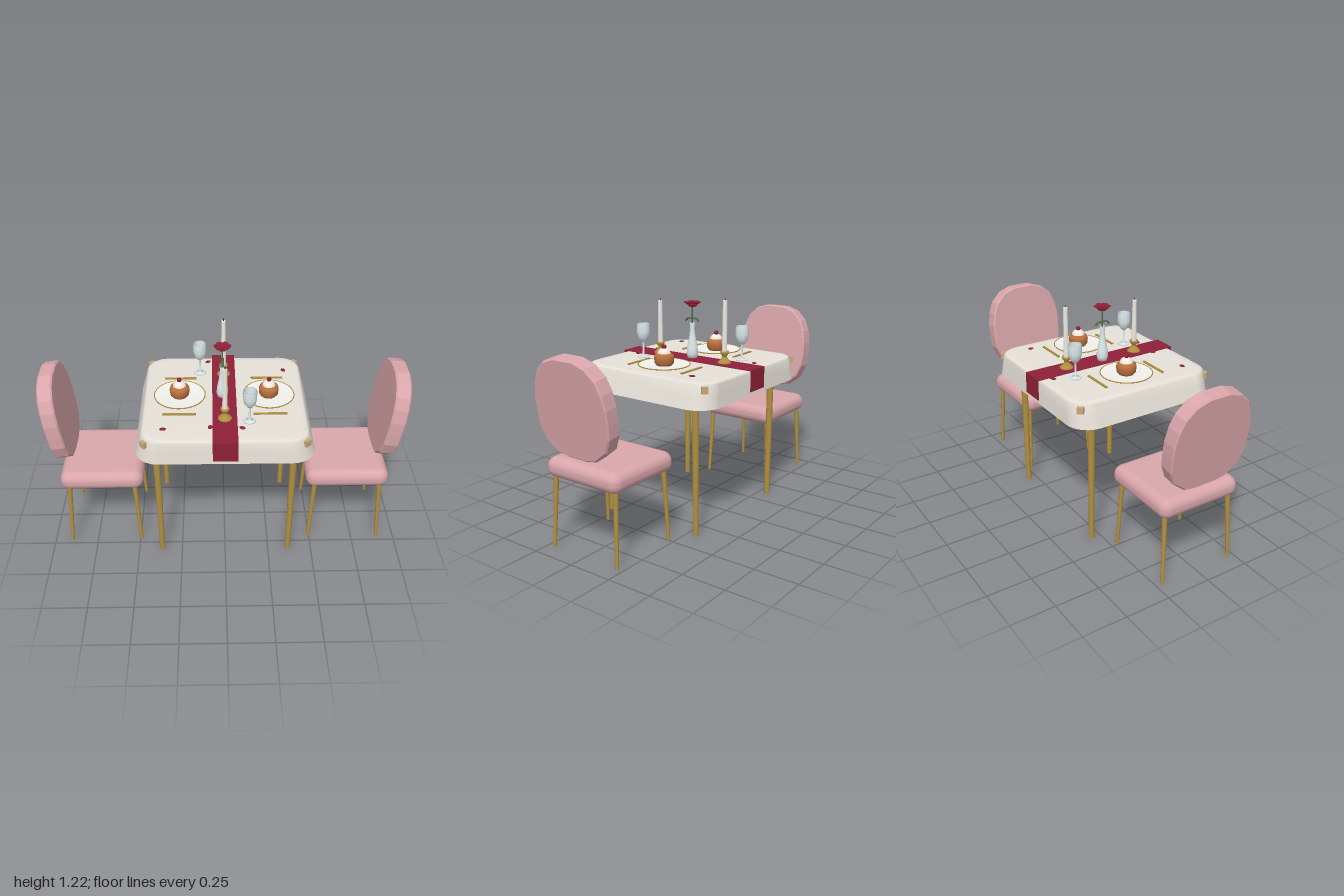
import * as THREE from 'three';
import { RoundedBoxGeometry } from 'three/addons/geometries/RoundedBoxGeometry.js';

const mat = (color, opts = {}) => new THREE.MeshStandardMaterial({ color, ...opts });
const DS = { side: THREE.DoubleSide };
const M = {
  pink: mat(0xd9a6ab), gold: mat(0xb08f40), wood: mat(0x7d6a48), cloth: mat(0xe6e1d8, DS),
  red: mat(0x8f2138, DS), glass: mat(0xdce8ea, DS), china: mat(0xf2f0ec, DS), wax: mat(0xeeeae2),
  cake: mat(0xb9713f), cream: mat(0xf5ece0), green: mat(0x4d6b40), wick: mat(0x2a2522), clip: mat(0xc9a878),
};

function add(parent, name, geo, material, x = 0, y = 0, z = 0) {
  const m = new THREE.Mesh(geo, material);
  m.name = name;
  m.position.set(x, y, z);
  parent.add(m);
  return m;
}

function group(parent, name, x = 0, y = 0, z = 0) {
  const g = new THREE.Group();
  g.name = name;
  g.position.set(x, y, z);
  parent.add(g);
  return g;
}

const lathe = (pts, seg = 24) => new THREE.LatheGeometry(pts.map(p => new THREE.Vector2(...p)), seg);

// Tapered round bar between two points
function bar(parent, name, a, b, ra, rb, material) {
  const A = new THREE.Vector3(...a), B = new THREE.Vector3(...b), d = B.clone().sub(A);
  const m = add(parent, name, new THREE.CylinderGeometry(rb, ra, d.length(), 14), material);
  m.position.copy(A).add(B).multiplyScalar(0.5);
  m.quaternion.setFromUnitVectors(new THREE.Vector3(0, 1, 0), d.normalize());
}

// Surface lofted through rounded rectangles [halfX, halfZ, cornerRadius, y], closed at the centre
function loftCloth(rings) {
  const pos = [0, rings[0][3], 0], idx = [], seg = 6, n = 4 * (seg + 1);
  for (const [hx, hz, r, y] of rings)
    for (let k = 0; k < 4; k++)
      for (let s = 0; s <= seg; s++) {
        const a = (k + s / seg) * Math.PI / 2;
        const sx = k === 0 || k === 3 ? 1 : -1, sz = k < 2 ? 1 : -1;
        pos.push(sx * (hx - r) + r * Math.cos(a), y, sz * (hz - r) + r * Math.sin(a));
      }
  for (let i = 0; i < n; i++) {
    const j = (i + 1) % n;
    idx.push(0, 1 + j, 1 + i);
    for (let k = 0; k < rings.length - 1; k++) {
      const a = 1 + k * n + i, b = 1 + k * n + j;
      idx.push(a, b, a + n, b, b + n, a + n);
    }
  }
  const g = new THREE.BufferGeometry();
  g.setAttribute('position', new THREE.Float32BufferAttribute(pos, 3));
  g.setIndex(idx);
  g.computeVertexNormals();
  return g;
}

function buildTable(root) {
  const t = group(root, 'table');
  add(t, 'tableTop', new THREE.BoxGeometry(0.8, 0.06, 0.78), M.wood, 0, 0.825, 0);
  add(t, 'tablecloth', loftCloth([
    [0.40, 0.385, 0.09, 0.862], [0.43, 0.415, 0.1, 0.86], [0.442, 0.425, 0.105, 0.85],
    [0.458, 0.43, 0.115, 0.79], [0.476, 0.436, 0.125, 0.73]]), M.cloth);
  for (const sx of [-1, 1]) for (const sz of [-1, 1]) {
    bar(t, 'tableLeg', [sx * 0.365, 0, sz * 0.3], [sx * 0.37, 0.8, sz * 0.3], 0.015, 0.02, M.gold);
    const c = add(t, 'clothClip', new THREE.BoxGeometry(0.035, 0.035, 0.02), M.clip, sx * 0.424, 0.832, sz * 0.397);
    c.rotation.y = sx * sz * Math.PI / 4;
  }
  // Runner: thin strip across the top with hanging ends
  add(t, 'runner', new THREE.BoxGeometry(0.132, 0.004, 0.878), M.red, 0, 0.865, 0);
  for (const s of [-1, 1])
    add(t, 'runnerEnd', new THREE.BoxGeometry(0.132, 0.117, 0.004), M.red, 0, 0.8085, s * 0.438);
}

function buildChair(root, side) {
  const c = group(root, side > 0 ? 'leftChair' : 'rightChair');
  if (side < 0) c.rotation.y = Math.PI;
  // Cushion, thickest in the middle
  const seat = new RoundedBoxGeometry(0.465, 0.115, 0.48, 6, 0.052);
  const p = seat.attributes.position;
  for (let i = 0; i < p.count; i++) {
    const u = p.getX(i) / 0.2325, v = p.getZ(i) / 0.24;
    p.setY(i, p.getY(i) * (0.94 + 0.14 * (1 - u * u) * (1 - v * v)));
  }
  add(c, 'seat', seat, M.pink, 0.692, 0.44, 0);
  for (const sz of [-1, 1]) {
    bar(c, 'frontLeg', [0.492, 0, sz * 0.215], [0.512, 0.41, sz * 0.2], 0.009, 0.014, M.gold);
    bar(c, 'rearLeg', [0.9, 0, sz * 0.215], [0.878, 0.41, sz * 0.2], 0.009, 0.014, M.gold);
  }
  // Faceted oval backrest, leaning outwards
  const half = [[0.055, -0.257], [0.125, -0.245], [0.2, -0.185], [0.23, -0.11], [0.234, -0.04],
    [0.234, 0.035], [0.22, 0.11], [0.192, 0.175], [0.135, 0.23], [0.06, 0.255]];
  const outline = [...half, ...half.map(([x, y]) => [-x, y]).reverse()];
  const back = new THREE.ExtrudeGeometry(new THREE.Shape(outline.map(q => new THREE.Vector2(...q))),
    { depth: 0.069, bevelEnabled: true, bevelThickness: 0.008, bevelSize: 0.008, bevelOffset: -0.008, bevelSegments: 1 });
  back.translate(0, 0, -0.0345).rotateY(Math.PI / 2);
  add(c, 'backrest', back, M.pink, 0.922, 0.79, 0).rotation.z = -0.14;
}

function buildSetting(root, side) {
  const s = group(root, 'placeSetting', side * 0.245, 0.862, 0);
  add(s, 'plate', lathe([[0, 0.004], [0.09, 0.004], [0.14, 0.013], [0.14, 0.016], [0.09, 0.009], [0, 0.009]], 36), M.china);
  const rim = add(s, 'plateRim', new THREE.TorusGeometry(0.14, 0.003, 6, 40), M.gold, 0, 0.015, 0);
  rim.rotation.x = Math.PI / 2;
  add(s, 'cake', lathe([[0, 0.009], [0.042, 0.009], [0.052, 0.022], [0.055, 0.05], [0.05, 0.067], [0.035, 0.075], [0, 0.076]]), M.cake);
  add(s, 'icing', lathe([[0.036, 0.068], [0.036, 0.078], [0.028, 0.092], [0.015, 0.1], [0, 0.102]]), M.cream);
  add(s, 'cherry', new THREE.SphereGeometry(0.013, 14, 10), M.red, 0, 0.109, 0);
  for (const z of [-0.182, 0.178])
    add(s, 'cutlery', new THREE.BoxGeometry(0.18, 0.006, 0.014), M.gold, 0, 0.005, z);
}

function buildGlass(root, x, z) {
  const g = group(root, 'wineGlass', x, 0.862, z);
  add(g, 'glass', lathe([[0, 0], [0.034, 0.001], [0.03, 0.005], [0.006, 0.012], [0.005, 0.085], [0.016, 0.094],
    [0.031, 0.115], [0.037, 0.145], [0.036, 0.192], [0.033, 0.192], [0.034, 0.145], [0.026, 0.115], [0, 0.1]]), M.glass);
  add(g, 'wine', new THREE.CylinderGeometry(0.018, 0.012, 0.008, 18), M.red, 0, 0.108, 0);
}

function buildCandle(root, z, top) {
  const g = group(root, 'candlestick', 0, 0.865, z);
  add(g, 'holder', lathe([[0, 0], [0.037, 0], [0.037, 0.008], [0.026, 0.018], [0.013, 0.034], [0.013, 0.043],
    [0.023, 0.055], [0.024, 0.068], [0, 0.068]]), M.gold);
  add(g, 'candle', new THREE.CylinderGeometry(0.012, 0.0145, top - 0.93, 18), M.wax, 0, (top + 0.93) / 2 - 0.865, 0);
  add(g, 'wick', new THREE.CylinderGeometry(0.002, 0.002, 0.016, 6), M.wick, 0, top - 0.859, 0);
}

function buildRose(root) {
  const g = group(root, 'roseVase', -0.01, 0.865, 0);
  add(g, 'vase', lathe([[0, 0], [0.026, 0], [0.032, 0.025], [0.03, 0.06], [0.018, 0.12], [0.013, 0.165],
    [0.016, 0.2], [0.013, 0.2], [0.01, 0.165]]), M.glass);
  bar(g, 'stem', [0, 0.05, 0], [0, 0.295, 0], 0.004, 0.004, M.green);
  for (const s of [-1, 1]) {
    const curve = new THREE.QuadraticBezierCurve3(new THREE.Vector3(0, 0.222, 0),
      new THREE.Vector3(0, 0.236, s * 0.022), new THREE.Vector3(0, 0.21, s * 0.044));
    const leaf = new THREE.TubeGeometry(curve, 10, 0.004, 8);
    leaf.scale(2.4, 1, 1);
    add(g, 'leaf', leaf, M.green);
  }
  // Rings of cupped petals around a bud
  add(g, 'bud', new THREE.SphereGeometry(0.013, 12, 8), M.red, 0, 0.314, 0);
  add(g, 'roseBase', lathe([[0, 0.285], [0.02, 0.292], [0.038, 0.308], [0, 0.312]], 12), M.red);
  [[0.032, 0.311, 0.018, 0], [0.018, 0.316, 0.013, 0.5]].forEach(([r, y, size, turn]) => {
    for (let i = 0; i < 6; i++) {
      const pivot = group(g, 'petalPivot', 0, y, 0);
      pivot.rotation.y = (i + turn) * Math.PI / 3;
      const petal = add(pivot, 'petal', new THREE.SphereGeometry(size, 10, 8), M.red, r, 0, 0);
      petal.scale.set(0.95, 0.28, 1.15);
      petal.rotation.z = 0.35;
    }
  });
}

export function createModel() {
  const root = new THREE.Group();
  root.name = 'diningSet';
  buildTable(root);
  for (const side of [1, -1]) {
    buildChair(root, side);
    buildSetting(root, side);
  }
  buildGlass(root, -0.135, -0.25);
  buildGlass(root, 0.13, 0.24);
  buildCandle(root, -0.225, 1.21);
  buildCandle(root, 0.22, 1.17);
  buildRose(root);
  // Loose petals on the cloth
  [[-0.09, -0.36], [0.345, -0.26], [-0.325, 0.315], [-0.078, 0.3], [0.09, 0.31]].forEach(([x, z], i) => {
    const p = add(root, 'loosePetal', new THREE.SphereGeometry(0.018, 10, 8), M.red, x, 0.869, z);
    p.scale.set(1, 0.25, 0.7);
    p.rotation.y = 0.6 + i * 1.3;
  });
  return root;
}
